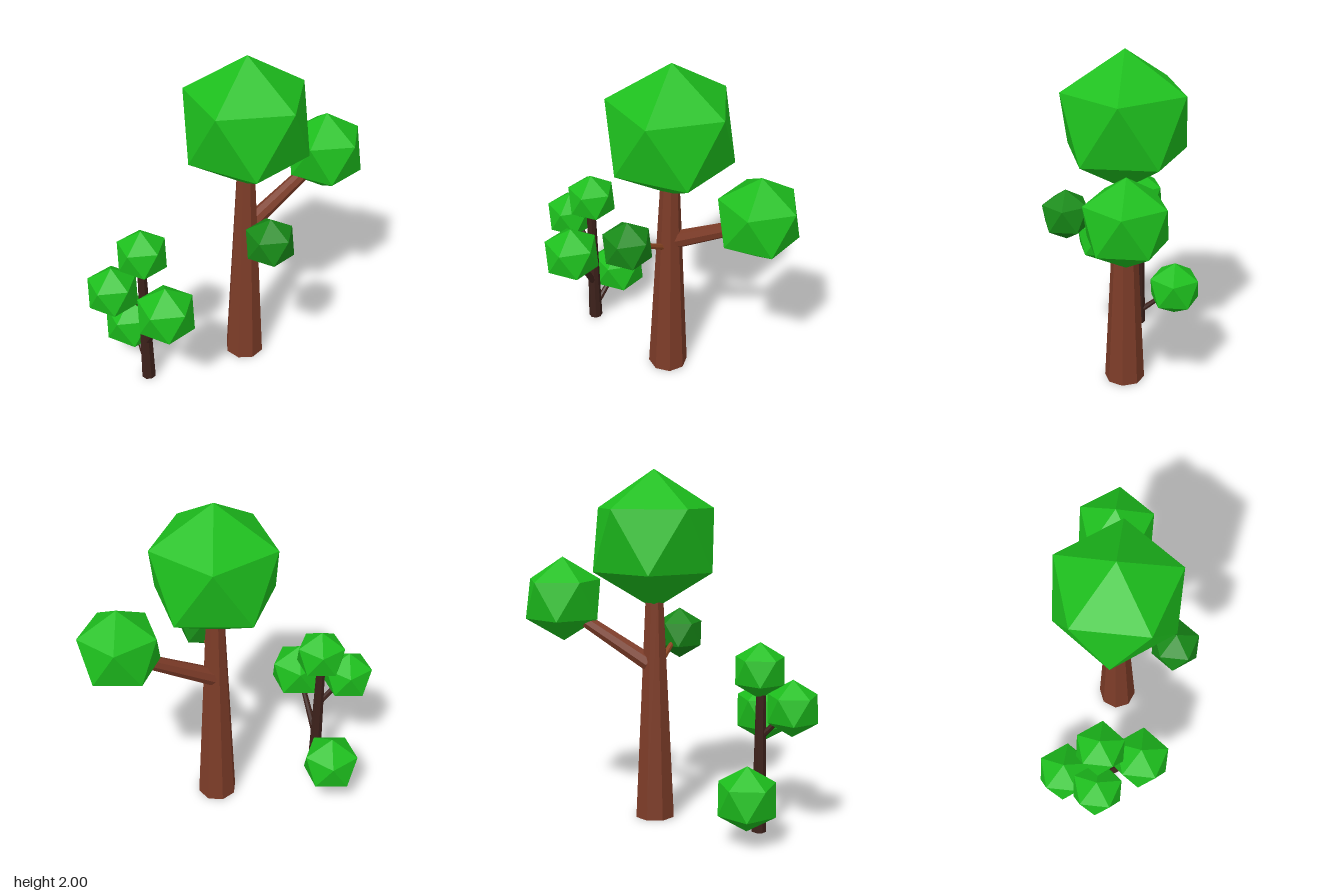
import * as THREE from 'three';

const paint = (color) => new THREE.MeshStandardMaterial({ color, flatShading: true });
const leaf = paint(0x1dbf1d);
const darkLeaf = paint(0x178a17);
const bark = paint(0x7d3c28);
const twigBark = paint(0x8a4522);
const darkBark = paint(0x3d211b);

// Tapered eight-sided limb between two points
function limb(name, from, to, r0, r1, material, sides = 8) {
  const a = new THREE.Vector3(...from);
  const b = new THREE.Vector3(...to);
  const dir = b.clone().sub(a);
  const mesh = new THREE.Mesh(new THREE.CylinderGeometry(r1, r0, dir.length(), sides), material);
  mesh.position.copy(a).add(b).multiplyScalar(0.5);
  mesh.quaternion.setFromUnitVectors(new THREE.Vector3(0, 1, 0), dir.normalize());
  mesh.name = name;
  return mesh;
}

// Icosahedron of leaves standing on one corner, with an upper corner facing +x
function foliage(name, center, radius, material = leaf) {
  const geometry = new THREE.IcosahedronGeometry(radius, 0);
  geometry.rotateZ(-Math.atan(2 / (1 + Math.sqrt(5))));
  const mesh = new THREE.Mesh(geometry, material);
  mesh.position.set(...center);
  mesh.name = name;
  return mesh;
}

function group(name, ...parts) {
  const g = new THREE.Group();
  g.name = name;
  g.add(...parts);
  return g;
}

export function createModel() {
  const largeTree = group('largeTree',
    limb('trunk', [0.095, 0, -0.025], [0.095, 1.32, -0.025], 0.118, 0.052, bark),
    limb('leftBranch', [0.12, 0.91, -0.045], [0.62, 1.21, -0.1], 0.052, 0.036, bark),
    limb('frontTwig', [0.095, 0.87, 0], [0.077, 1.04, 0.3], 0.02, 0.012, twigBark),
    foliage('crown', [0.096, 1.61, -0.025], 0.39),
    foliage('leftFoliage', [0.645, 1.26, -0.09], 0.245),
    foliage('frontFoliage', [0.075, 1.037, 0.31], 0.151, darkLeaf));

  const smallTree = group('smallTree',
    limb('trunk', [-0.548, 0, -0.05], [-0.548, 0.85, -0.05], 0.043, 0.026, darkBark),
    limb('frontBranch', [-0.545, 0.29, -0.035], [-0.505, 0.62, 0.17], 0.022, 0.014, darkBark),
    limb('rightBranch', [-0.548, 0.54, -0.05], [-0.71, 0.71, -0.05], 0.018, 0.012, darkBark),
    limb('backBranch', [-0.548, 0.08, -0.06], [-0.55, 0.25, -0.27], 0.02, 0.013, darkBark),
    foliage('topFoliage', [-0.54, 0.915, -0.05], 0.157),
    foliage('rightFoliage', [-0.727, 0.72, -0.05], 0.159),
    foliage('frontFoliage', [-0.502, 0.64, 0.18], 0.181),
    foliage('backFoliage', [-0.549, 0.26, -0.283], 0.181));

  return group('trees', largeTree, smallTree);
}
